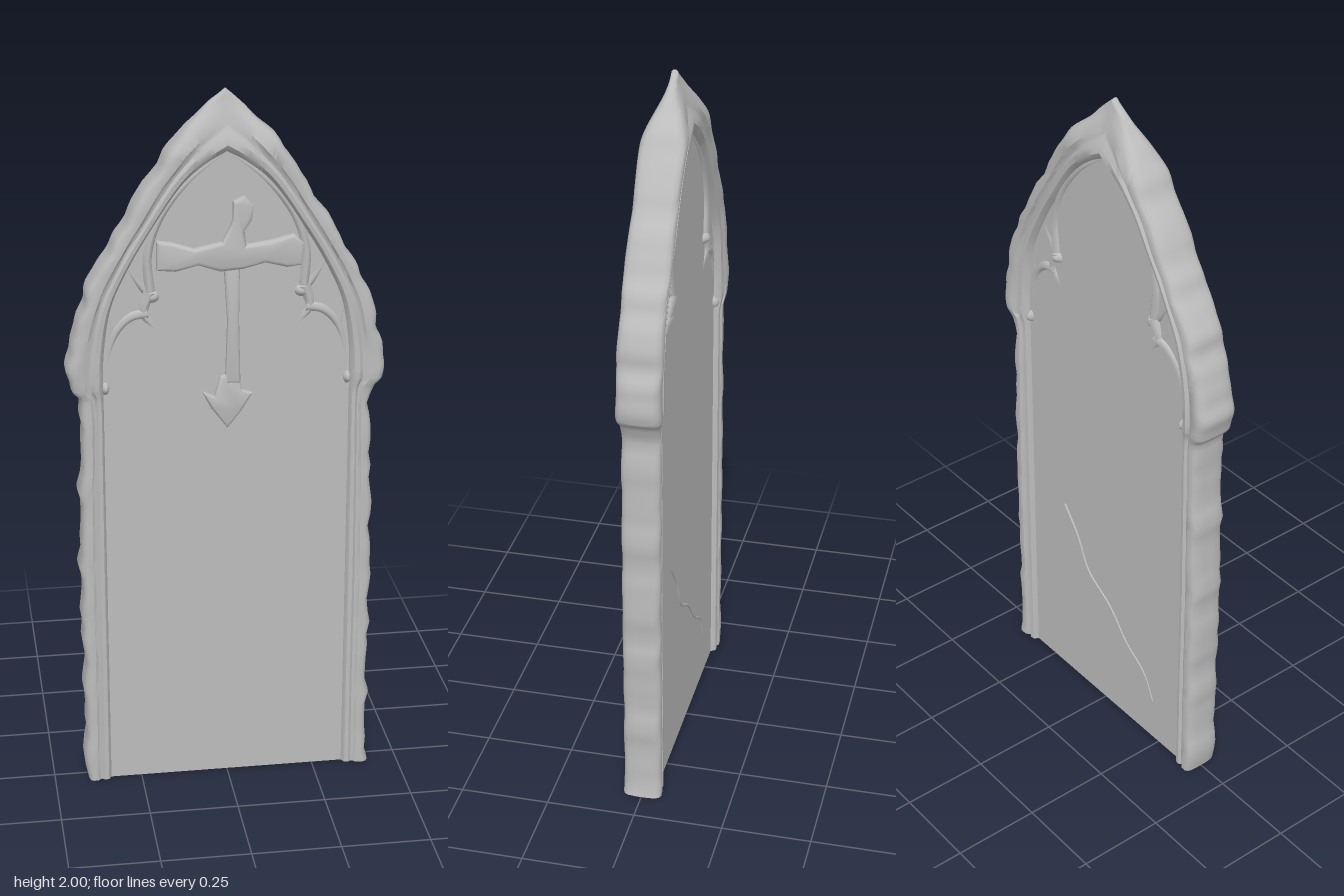
import * as THREE from 'three';
import { toCreasedNormals } from 'three/addons/utils/BufferGeometryUtils.js';

const stone = new THREE.MeshStandardMaterial({ color: 0xbcbcbc });
stone.name = 'grey stone';

const curve = (pts) => new THREE.CatmullRomCurve3(pts.map(([x, y]) => new THREE.Vector3(x, y, 0)));

// Matching right-hand halves of the outer and inner frame edges, foot to apex
const outer = curve([[0.408, 0], [0.405, 0.3], [0.408, 0.6], [0.403, 0.9], [0.403, 1.17], [0.428, 1.2],
  [0.423, 1.3], [0.39, 1.43], [0.34, 1.54], [0.28, 1.64], [0.17, 1.82], [0.08, 1.93], [0, 2]]);
const inner = curve([[0.335, 0], [0.335, 0.3], [0.335, 0.6], [0.335, 0.9], [0.335, 1.17], [0.335, 1.2],
  [0.332, 1.3], [0.31, 1.43], [0.26, 1.54], [0.2, 1.64], [0.115, 1.76], [0.055, 1.81], [0, 1.84]]);
const STEPS = 96;

// Point on the frame: i runs right foot -> apex -> left foot, u runs outer -> inner edge
function framePoint(i, u) {
  const side = i <= STEPS ? 1 : -1;
  const t = (side > 0 ? i : 2 * STEPS - i) / STEPS;
  const p = outer.getPoint(t).lerp(inner.getPoint(t), u);
  const wear = Math.sin(p.y * 31 + side) + Math.sin(p.y * 53 + side * 2.3) + 0.6 * Math.sin(p.y * 87 + side);
  if (t < 0.98) p.x += 0.0032 * wear * Math.max(0, 1 - u * 2);
  p.x *= side;
  return p;
}

// Moulded frame: a worn profile swept along the whole arch
function frameGeometry() {
  const front = [[-0.03, 0.02], [0, 0.044], [0.07, 0.055], [0.18, 0.06], [0.42, 0.059], [0.52, 0.05],
    [0.6, 0.049], [0.7, 0.056], [0.85, 0.054], [0.95, 0.042], [1, 0.025]];
  const profile = [...front, ...front.map(([u, z]) => [u, -z]).reverse()];
  const n = profile.length, rows = 2 * STEPS + 1;
  const pos = [], idx = [];
  for (let i = 0; i < rows; i++) {
    for (const [u, z] of profile) {
      const p = framePoint(i, u);
      const base = 0.88 + 0.12 * THREE.MathUtils.smoothstep(p.y, 1.16, 1.21);
      const crown = 1 - 0.8 * THREE.MathUtils.smoothstep(p.y, 1.84, 1.99);
      const wear = 1 + 0.03 * Math.sin(p.y * 37 + p.x * 19) * (1 - u);
      p.z = z * base * crown * wear;
      pos.push(p.x, p.y, p.z);
    }
  }
  for (let i = 0; i < rows - 1; i++) {
    for (let j = 0; j < n; j++) {
      const a = i * n + j, c = i * n + (j + 1) % n;
      idx.push(a, a + n, c, c, a + n, c + n);
    }
  }
  // Feet of the two posts
  const last = (rows - 1) * n;
  for (let j = 0; j < front.length - 1; j++) {
    const a = j, b = j + 1, c = n - 1 - j, d = n - 2 - j;
    idx.push(a, b, c, b, d, c);
    idx.push(last + a, last + c, last + b, last + b, last + c, last + d);
  }
  const g = new THREE.BufferGeometry();
  g.setAttribute('position', new THREE.Float32BufferAttribute(pos, 3));
  g.setIndex(idx);
  return toCreasedNormals(g, 0.75);
}

// Tapering rib, later stretched in depth so it shows on both faces
function ribGeometry(pts, r0, r1) {
  const path = curve(pts), n = 24, sides = 10;
  const g = new THREE.TubeGeometry(path, n, 1, sides, false);
  const pos = g.attributes.position, v = new THREE.Vector3();
  for (let i = 0; i <= n; i++) {
    const c = path.getPointAt(i / n), r = THREE.MathUtils.lerp(r0, r1, i / n);
    for (let j = 0; j <= sides; j++) {
      const k = i * (sides + 1) + j;
      v.fromBufferAttribute(pos, k).sub(c).multiplyScalar(r).add(c);
      pos.setXYZ(k, v.x, v.y, v.z);
    }
  }
  return g;
}

// Low relief with softened edges on the front of the panel
function reliefGeometry(pts, depth) {
  const shape = new THREE.Shape(pts.map(([x, y]) => new THREE.Vector2(x, y)));
  const g = new THREE.ExtrudeGeometry(shape, {
    depth, bevelThickness: 0.01, bevelSize: 0.009, bevelOffset: -0.009, bevelSegments: 3,
  });
  return toCreasedNormals(g, 0.8);
}

export function createModel() {
  const model = new THREE.Group();
  const add = (name, geometry, parent = model) => {
    const m = new THREE.Mesh(geometry, stone);
    m.name = name;
    parent.add(m);
    return m;
  };

  add('frame', frameGeometry());

  // Recessed slab filling the arch
  const edge = [];
  for (let i = 0; i <= 2 * STEPS; i += 2) {
    const p = framePoint(i, 0.7);
    edge.push(new THREE.Vector2(p.x, p.y));
  }
  const slab = new THREE.ExtrudeGeometry(new THREE.Shape(edge), { depth: 0.068, bevelEnabled: false });
  add('panel', slab.translate(0, 0, -0.034));

  // Tracery, mirrored left and right
  const ribs = {
    innerArchRib: [[[0, 1.845], [0.1, 1.77], [0.18, 1.67], [0.213, 1.57], [0.208, 1.47]], 0.014, 0.02],
    innerCusp: [[[0.21, 1.47], [0.225, 1.41], [0.2, 1.37], [0.17, 1.31], [0.155, 1.25]], 0.023, 0.005],
    outerCusp: [[[0.215, 1.41], [0.26, 1.4], [0.3, 1.36], [0.325, 1.28], [0.33, 1.2]], 0.02, 0.012],
    eyeInnerRib: [[[0.21, 1.46], [0.235, 1.49], [0.265, 1.535], [0.275, 1.56]], 0.018, 0.013],
    eyeOuterRib: [[[0.275, 1.55], [0.3, 1.49], [0.318, 1.42], [0.31, 1.36]], 0.012, 0.015],
  };
  for (const side of [1, -1]) {
    const tracery = new THREE.Group();
    tracery.name = side > 0 ? 'leftTracery' : 'rightTracery';
    for (const [name, [pts, r0, r1]] of Object.entries(ribs)) {
      const path = pts.map(([x, y]) => [x * side, y]);
      add(name, ribGeometry(path, r0, r1), tracery).scale.z = 2.5;
    }
    // Worn leaf where the ribs meet, and the foot of the outer cusp
    const boss = add('leafBoss', new THREE.SphereGeometry(0.03, 16, 10), tracery);
    boss.position.set(0.205 * side, 1.455, 0);
    boss.scale.set(1, 0.8, 1.75);
    const stop = add('ribStop', new THREE.SphereGeometry(0.02, 12, 8), tracery);
    stop.position.set(0.332 * side, 1.2, 0);
    stop.scale.set(0.8, 1.2, 2.6);
    model.add(tracery);
  }

  // Cross relief with flared arms and a pointed foot
  const cross = new THREE.Group();
  cross.name = 'cross';
  add('crossArms', reliefGeometry([[-0.19, 1.61], [-0.15, 1.605], [-0.09, 1.585], [-0.015, 1.6],
    [0.015, 1.66], [0.015, 1.71], [0.045, 1.725], [0.07, 1.7], [0.065, 1.66], [0.045, 1.63], [0.05, 1.59],
    [0.12, 1.6], [0.18, 1.615], [0.205, 1.59], [0.2, 1.53], [0.16, 1.525], [0.1, 1.54], [0.04, 1.525],
    [-0.02, 1.52], [-0.08, 1.54], [-0.14, 1.525], [-0.19, 1.53]], 0.016), cross);
  add('crossShaft', reliefGeometry([[-0.01, 1.54], [0.034, 1.54], [0.032, 1.38], [0.036, 1.2],
    [-0.006, 1.2], [0.0, 1.38]], 0.01), cross);
  add('crossPoint', reliefGeometry([[-0.07, 1.18], [-0.035, 1.165], [-0.02, 1.22], [0.03, 1.24],
    [0.04, 1.18], [0.07, 1.17], [0.04, 1.12], [0.0, 1.07], [-0.045, 1.13]], 0.008), cross);
  cross.position.z = 0.029;
  model.add(cross);

  // Thin raised crack across the back
  const crack = add('backCrack', ribGeometry([[0.19, 0.62], [0.13, 0.54], [0.08, 0.44], [-0.02, 0.37],
    [-0.1, 0.28], [-0.18, 0.22], [-0.22, 0.14]], 0.005, 0.003));
  crack.position.z = -0.034;

  return model;
}
